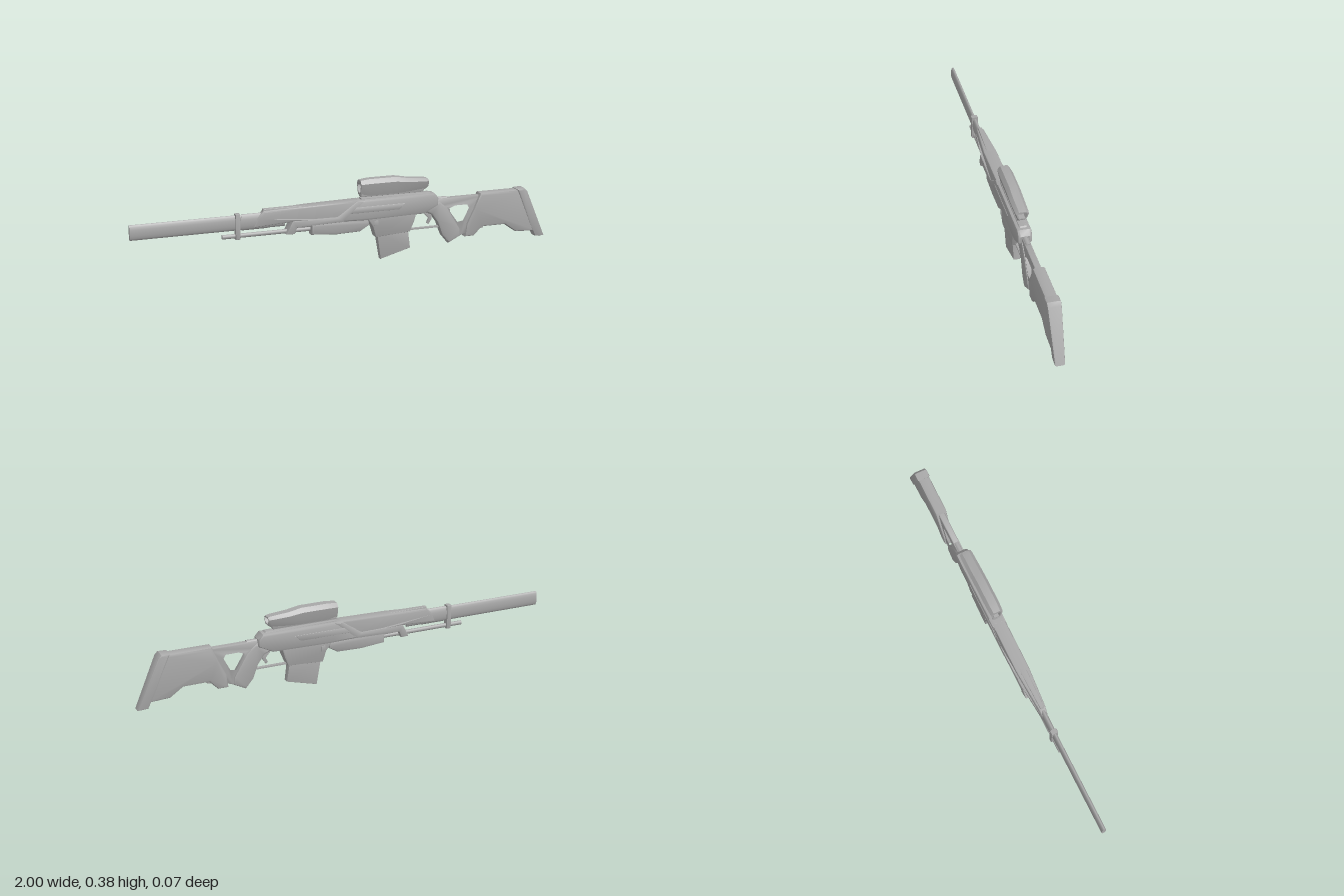
import * as THREE from 'three';
import { toCreasedNormals } from 'three/addons/utils/BufferGeometryUtils.js';

const metal = new THREE.MeshStandardMaterial({ color: 0xa8a8a8 });
metal.name = 'grey metal';

export function createModel() {
  const model = new THREE.Group();
  model.name = 'rifle';

  const add = (name, geometry) => {
    const mesh = new THREE.Mesh(geometry, metal);
    mesh.name = name;
    model.add(mesh);
    return mesh;
  };

  // Side outline given thickness in z, rounded edges and an optional width rule
  const plate = (name, points, half, { bevel = 0.008, taper, hole, z = 0 } = {}) => {
    const toVec = (p) => new THREE.Vector2(p[0], p[1]);
    const shape = new THREE.Shape(points.map(toVec));
    if (hole) shape.holes.push(new THREE.Path(hole.map(toVec)));
    const b = Math.min(bevel, half * 0.8);
    const geo = new THREE.ExtrudeGeometry(shape, {
      depth: 2 * (half - b), bevelEnabled: true, bevelThickness: b,
      bevelSize: b, bevelOffset: -b, bevelSegments: 2,
    });
    geo.translate(0, 0, b - half);
    const pos = geo.attributes.position;
    for (let i = 0; i < pos.count; i++) {
      const k = taper ? taper(pos.getX(i), pos.getY(i)) : 1;
      pos.setZ(i, pos.getZ(i) * k + z);
    }
    return add(name, toCreasedNormals(geo, 0.7));
  };

  // Skin over eight-sided sections along x: [x, bottom, top, half width]
  const ring = [[-0.55, 1], [0.55, 1], [1, 0.75], [0.8, 0.3], [0.55, 0], [-0.55, 0], [-0.8, 0.3], [-1, 0.75]];
  const loft = (name, sections) => {
    const v = [];
    const at = (s, i) => {
      const [x, lo, hi, w] = sections[s], [u, t] = ring[i % 8];
      v.push(x, lo + (hi - lo) * t, u * w);
    };
    const last = sections.length - 1;
    for (let s = 0; s < last; s++) for (let i = 0; i < 8; i++) {
      at(s, i); at(s, i + 1); at(s + 1, i + 1);
      at(s, i); at(s + 1, i + 1); at(s + 1, i);
    }
    for (let i = 1; i < 7; i++) {
      at(last, 0); at(last, i); at(last, i + 1);
      at(0, 0); at(0, i + 1); at(0, i);
    }
    const geo = new THREE.BufferGeometry();
    geo.setAttribute('position', new THREE.Float32BufferAttribute(v, 3));
    return add(name, toCreasedNormals(geo, 0.5));
  };

  // Round bar along x, flattened in z
  const bar = (name, x0, x1, y, ry, rz) => {
    const geo = new THREE.CylinderGeometry(1, 1, x1 - x0, 16);
    geo.rotateZ(Math.PI / 2);
    geo.scale(1, ry, rz);
    geo.translate((x0 + x1) / 2, y, 0);
    return add(name, geo);
  };

  const lerp = THREE.MathUtils.mapLinear;
  const clamp = THREE.MathUtils.clamp;

  // Barrel, lower rod and the band joining them
  bar('barrel', -1, -0.3, 0.235, 0.035, 0.011);
  bar('barrelSleeve', -0.5, -0.38, 0.235, 0.037, 0.013);
  bar('lowerRod', -0.59, -0.15, 0.175, 0.01, 0.009);
  plate('barrelBand', [[-0.53, 0.16], [-0.508, 0.16], [-0.508, 0.276], [-0.53, 0.276]], 0.016, { bevel: 0.004 });

  // Handguard, widening towards the receiver
  const noseTaper = (x) => clamp(lerp(x, -0.45, -0.25, 0.4, 1), 0.4, 1);
  plate('handguard', [[-0.446, 0.208], [-0.43, 0.25], [-0.4, 0.28], [-0.2, 0.288], [0.05, 0.293],
    [0.05, 0.2], [-0.06, 0.2], [-0.26, 0.222]], 0.031, { taper: noseTaper });
  plate('topRail', [[-0.405, 0.275], [-0.13, 0.275], [-0.12, 0.288], [-0.4, 0.288]], 0.017,
    { bevel: 0.003, taper: noseTaper });
  plate('underBarrelCore', [[-0.28, 0.19], [-0.26, 0.225], [0.1, 0.225], [0.1, 0.18]], 0.022);
  plate('foreGrip', [[-0.18, 0.15], [-0.18, 0.2], [0.1, 0.2], [0.1, 0.17], [0.055, 0.143], [-0.06, 0.14]],
    0.026, { bevel: 0.012 });
  plate('angledCover', [[-0.3, 0.165], [-0.27, 0.225], [-0.06, 0.225], [0.035, 0.29], [0.075, 0.29],
    [-0.03, 0.2], [-0.25, 0.195], [-0.262, 0.165]], 0.033, { bevel: 0.004, taper: noseTaper });

  // Receiver with the magazine well below
  plate('receiver', [[-0.05, 0.2], [0.04, 0.293], [0.42, 0.293], [0.44, 0.27], [0.44, 0.235],
    [0.37, 0.2], [0.09, 0.195]], 0.033, { bevel: 0.012 });
  plate('magazineWell', [[0.08, 0.21], [0.33, 0.21], [0.32, 0.17], [0.3, 0.12], [0.13, 0.11], [0.115, 0.16]],
    0.03, { bevel: 0.006, taper: (x, y) => lerp(y, 0.11, 0.21, 0.8, 1) });
  plate('magazine', [[0.137, 0.13], [0.158, 0], [0.305, 0.04], [0.292, 0.13]], 0.019,
    { bevel: 0.004, taper: (x, y) => lerp(y, 0, 0.13, 0.75, 1) });
  plate('receiverTop', [[0.06, 0.28], [0.06, 0.298], [0.4, 0.298], [0.42, 0.28]], 0.018, { bevel: 0.004 });
  bar('boltTail', 0.42, 0.49, 0.256, 0.012, 0.012);

  // Shallow panels on both sides of the receiver
  for (const side of [-1, 1]) {
    plate('sidePanel', [[0.0, 0.235], [0.03, 0.262], [0.27, 0.262], [0.24, 0.235]], 0.002, { bevel: 0.001, z: side * 0.033 });
    plate('magazineCatch', [[0.12, 0.165], [0.12, 0.19], [0.14, 0.19], [0.14, 0.165]], 0.003, { bevel: 0.001, z: side * 0.028 });
  }

  // Trigger and guard
  plate('triggerGuard', [[0.29, 0.122], [0.29, 0.13], [0.46, 0.13], [0.46, 0.122]], 0.008, { bevel: 0.002 });
  plate('trigger', [[0.37, 0.205], [0.42, 0.205], [0.415, 0.165], [0.4, 0.142], [0.39, 0.148], [0.4, 0.17]],
    0.006, { bevel: 0.002 });

  // Pistol grip and thumbhole frame
  plate('gripFrame', [[0.34, 0.215], [0.41, 0.262], [0.68, 0.262], [0.68, 0.1], [0.58, 0.08], [0.565, 0.075],
    [0.5, 0.042], [0.465, 0.085], [0.44, 0.15], [0.41, 0.19]], 0.015, {
    bevel: 0.006,
    hole: [[0.495, 0.215], [0.53, 0.228], [0.595, 0.228], [0.608, 0.205], [0.575, 0.14], [0.54, 0.135], [0.5, 0.19]],
  });
  plate('pistolGrip', [[0.36, 0.215], [0.45, 0.25], [0.49, 0.215], [0.555, 0.11], [0.56, 0.075],
    [0.5, 0.045], [0.465, 0.085], [0.44, 0.15], [0.41, 0.19]], 0.021, { bevel: 0.01 });

  // Shoulder stock and butt pad
  const stockTaper = (x, y) => lerp(y, 0.03, 0.27, 0.72, 1);
  plate('stock', [[0.655, 0.272], [0.86, 0.272], [0.95, 0.06], [0.85, 0.065], [0.79, 0.107], [0.67, 0.107],
    [0.63, 0.066], [0.582, 0.066], [0.59, 0.13], [0.625, 0.2]], 0.028, { bevel: 0.012, taper: stockTaper });
  plate('buttPad', [[0.845, 0.275], [0.885, 0.277], [0.9, 0.262], [1, 0.032], [0.952, 0.034], [0.915, 0.11]],
    0.031, { bevel: 0.008, taper: stockTaper });

  // Scope with a recessed eyepiece, on a slim base
  loft('scope', [[0.08, 0.322, 0.365, 0.02], [0.057, 0.322, 0.365, 0.02], [0.057, 0.312, 0.38, 0.029],
    [0.1, 0.307, 0.385, 0.032], [0.23, 0.307, 0.385, 0.032], [0.29, 0.31, 0.374, 0.032], [0.375, 0.316, 0.367, 0.03],
    [0.39, 0.325, 0.363, 0.028], [0.39, 0.33, 0.358, 0.023], [0.36, 0.33, 0.358, 0.023]]);
  plate('scopeBase', [[0.06, 0.303], [0.06, 0.32], [0.38, 0.33], [0.365, 0.303]], 0.018, { bevel: 0.004 });

  return model;
}
